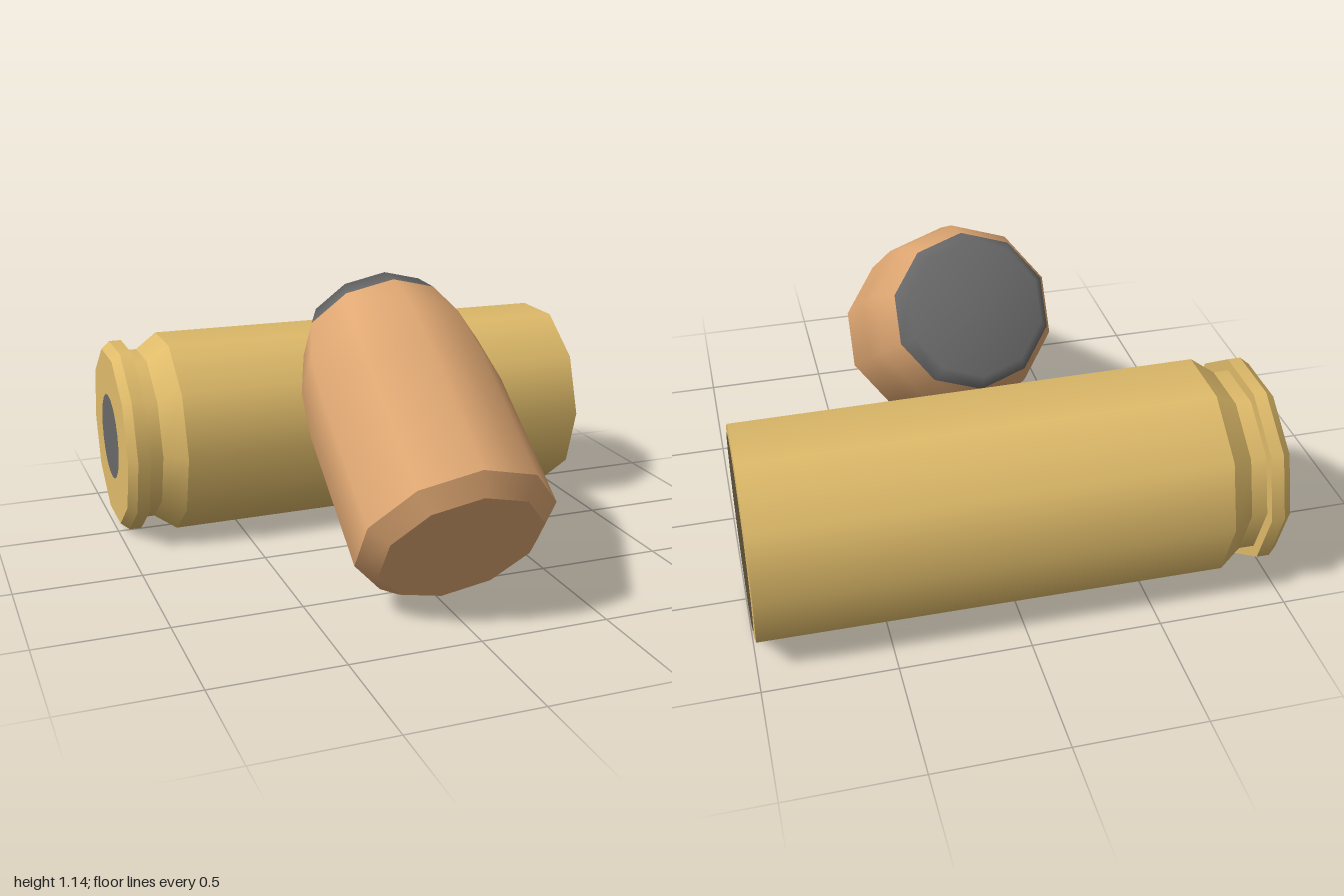
import * as THREE from 'three';
import { mergeGeometries } from 'three/addons/utils/BufferGeometryUtils.js';

const SIDES = 10;

function material(name, color) {
  const m = new THREE.MeshStandardMaterial({ color });
  m.name = name;
  return m;
}

// Each band is a smooth run of [radius, height] points; bands meet in sharp edges.
function turned(name, mat, bands) {
  const parts = bands.map((band) =>
    new THREE.LatheGeometry(band.map(([r, h]) => new THREE.Vector2(r, h)), SIDES));
  const mesh = new THREE.Mesh(mergeGeometries(parts), mat);
  mesh.name = name;
  return mesh;
}

// Splits a profile into one sharp band per segment.
const sharp = (pts) => pts.slice(1).map((p, i) => [pts[i], p]);

// Thin painted disc; dir is +1 to face up the axis, -1 to face down.
function disc(name, mat, radius, height, dir) {
  const mesh = new THREE.Mesh(new THREE.CircleGeometry(radius, 20), mat);
  mesh.name = name;
  mesh.rotation.x = -dir * Math.PI / 2;
  mesh.position.y = height + dir * 0.003;
  return mesh;
}

export function createModel() {
  const brass = material('brass', 0xdfbb6a);
  const copper = material('copper', 0xe0a873);
  const grey = material('grey metal', 0x686868);
  const dark = material('dark bore', 0x5e5137);

  const model = new THREE.Group();
  model.name = 'spentRound';

  // Casing lies along x: base and rim at -x, mouth at +x
  const casing = new THREE.Group();
  casing.name = 'casing';
  casing.add(
    turned('casingBody', brass, sharp([
      [0, -0.995], [0.37, -0.995], [0.4, -0.96], [0.4, -0.91], [0.356, -0.91],
      [0.356, -0.85], [0.42, -0.76], [0.411, 0.995], [0, 0.995],
    ])),
    disc('casingMouth', dark, 0.366, 0.995, 1),
    disc('primer', grey, 0.18, -0.995, -1),
  );
  casing.rotation.z = -Math.PI / 2;
  casing.position.set(0, 0.405, -0.58);

  // Bullet leans back, resting on its base edge
  const bullet = new THREE.Group();
  bullet.name = 'bullet';
  bullet.add(
    turned('bulletJacket', copper, [
      [[0, 0], [0.315, 0]],
      [[0.315, 0], [0.386, 0.068]],
      [[0.386, 0.068], [0.386, 0.66], [0.364, 0.874], [0.308, 1.05]],
    ]),
    turned('bulletTip', grey, [[[0.308, 1.05], [0.263, 1.133], [0, 1.133]]]),
  );
  bullet.rotation.x = -0.96;
  bullet.position.set(0, 0.285, 0.82);

  model.add(casing, bullet);
  return model;
}
